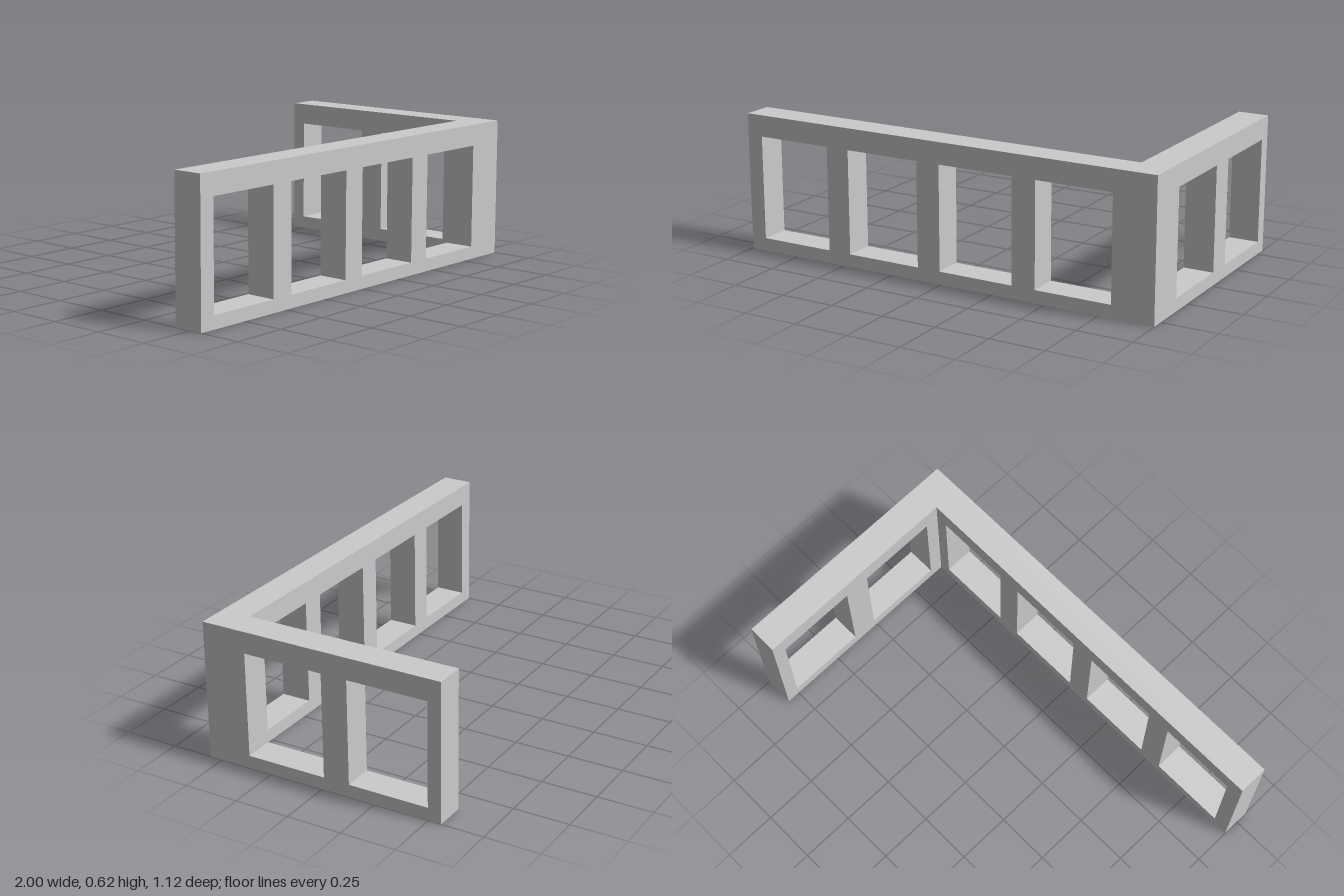
import * as THREE from 'three';

const HEIGHT = 0.625, THICK = 0.137, DEPTH = 0.56;
const SILL = 0.058, HEAD = 0.528;

// Upright wall from u0 to u1 with rectangular openings, extruded along +z
function windowWall(name, u0, u1, openings, material) {
  const rect = (target, a, b, low, high) => {
    target.moveTo(a, low);
    target.lineTo(b, low);
    target.lineTo(b, high);
    target.lineTo(a, high);
    target.closePath();
    return target;
  };
  const shape = rect(new THREE.Shape(), u0, u1, 0, HEIGHT);
  for (const [a, b] of openings) shape.holes.push(rect(new THREE.Path(), a, b, SILL, HEAD));
  const geometry = new THREE.ExtrudeGeometry(shape, { depth: THICK, bevelEnabled: false });
  const mesh = new THREE.Mesh(geometry, material);
  mesh.name = name;
  return mesh;
}

export function createModel() {
  const group = new THREE.Group();
  group.name = 'cornerWall';
  const material = new THREE.MeshStandardMaterial({ color: 0xcccccc, flatShading: true });

  // Long front wall with four evenly spaced windows
  const frontOpenings = [];
  for (let i = 0; i < 4; i++) {
    const start = -0.927 + i * 0.461;
    frontOpenings.push([start, start + 0.351]);
  }
  const front = windowWall('frontWall', -1, 1, frontOpenings, material);
  front.position.z = DEPTH - THICK;
  group.add(front);

  // Short side wall with two windows, running back from the corner
  const sideOpenings = [[-0.358, 0.011], [0.131, 0.499]];
  const side = windowWall('sideWall', THICK - DEPTH, DEPTH, sideOpenings, material);
  side.rotation.y = Math.PI / 2;
  side.position.x = 1 - THICK;
  group.add(side);

  return group;
}
